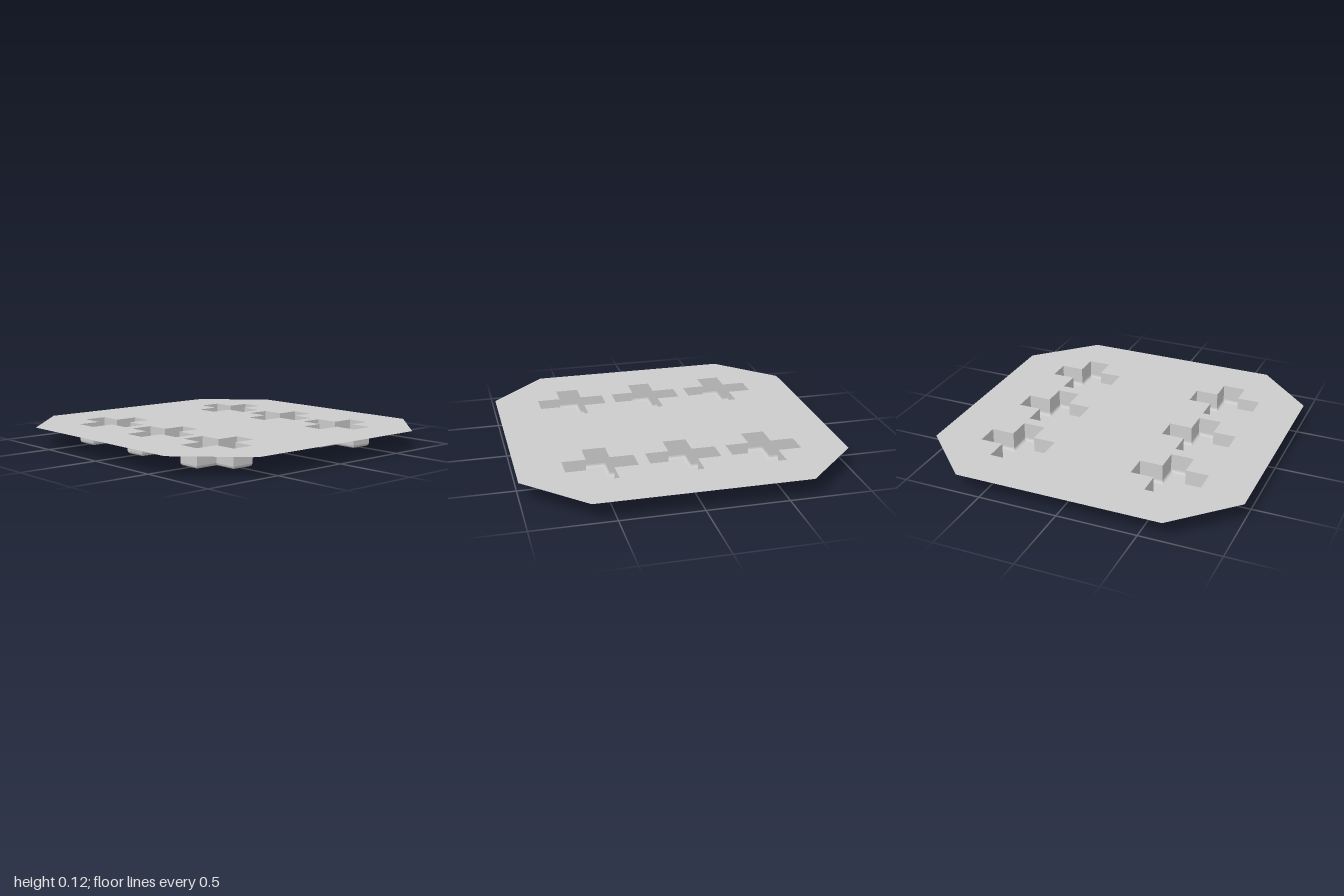
import * as THREE from 'three';

const TOP = 0.12, LONG = 0.217, ARM = 0.072, BEVEL = 0.018, STEPS = 3;
const material = new THREE.MeshStandardMaterial({ color: 0xcccccc, side: THREE.DoubleSide, flatShading: true });

// Corners of a plus outline, moved inward by d
function crossPoints(d, cx = 0, cy = 0) {
  const a = ARM - d, b = LONG - d;
  return [[b, -a], [b, a], [a, a], [a, b], [-a, b], [-a, a], [-b, a], [-b, -a], [-a, -a], [-a, -b], [a, -b], [a, -a]]
    .map(([x, y]) => new THREE.Vector2(cx + x, cy + y));
}

// Flat shape laid horizontally, facing up
function flatMesh(shape, y, name) {
  const geometry = new THREE.ShapeGeometry(shape).rotateX(-Math.PI / 2).translate(0, y, 0);
  const mesh = new THREE.Mesh(geometry, material);
  mesh.name = name;
  return mesh;
}

// Pocket walls: straight sides, then a rounded bottom edge
function wallGeometry() {
  const levels = [[0, TOP]];
  for (let i = 0; i <= STEPS; i++) {
    const t = (i / STEPS) * Math.PI / 2;
    levels.push([BEVEL * (1 - Math.cos(t)), BEVEL * (1 - Math.sin(t))]);
  }
  const positions = [], indices = [], n = 12;
  for (const [inset, y] of levels) {
    for (const p of crossPoints(inset)) positions.push(p.x, y, -p.y);
  }
  for (let l = 0; l < levels.length - 1; l++) {
    for (let i = 0; i < n; i++) {
      const a = l * n + i, b = l * n + (i + 1) % n;
      indices.push(a, b, a + n, b, b + n, a + n);
    }
  }
  const geometry = new THREE.BufferGeometry();
  geometry.setAttribute('position', new THREE.Float32BufferAttribute(positions, 3));
  geometry.setIndex(indices);
  const flat = geometry.toNonIndexed();
  flat.computeVertexNormals();
  return flat;
}

export function createModel() {
  const model = new THREE.Group();
  model.name = 'crossPocketTray';

  // Thin octagonal sheet
  const c = 0.645;
  const sheet = new THREE.Shape([[1, -c], [1, c], [c, 1], [-c, 1], [-1, c], [-1, -c], [-c, -1], [c, -1]]
    .map(([x, y]) => new THREE.Vector2(x, y)));

  // Two columns of three pockets, opened through the sheet
  const walls = wallGeometry();
  for (const x of [-0.5, 0.5]) {
    for (const z of [-0.504, 0, 0.504]) {
      sheet.holes.push(new THREE.Path(crossPoints(0, x, -z).reverse()));
      const pocket = new THREE.Group();
      pocket.name = 'crossPocket';
      const wall = new THREE.Mesh(walls, material);
      wall.name = 'pocketWall';
      pocket.add(wall, flatMesh(new THREE.Shape(crossPoints(BEVEL)), 0, 'pocketFloor'));
      pocket.position.set(x, 0, z);
      model.add(pocket);
    }
  }
  model.add(flatMesh(sheet, TOP, 'topSheet'));
  return model;
}
